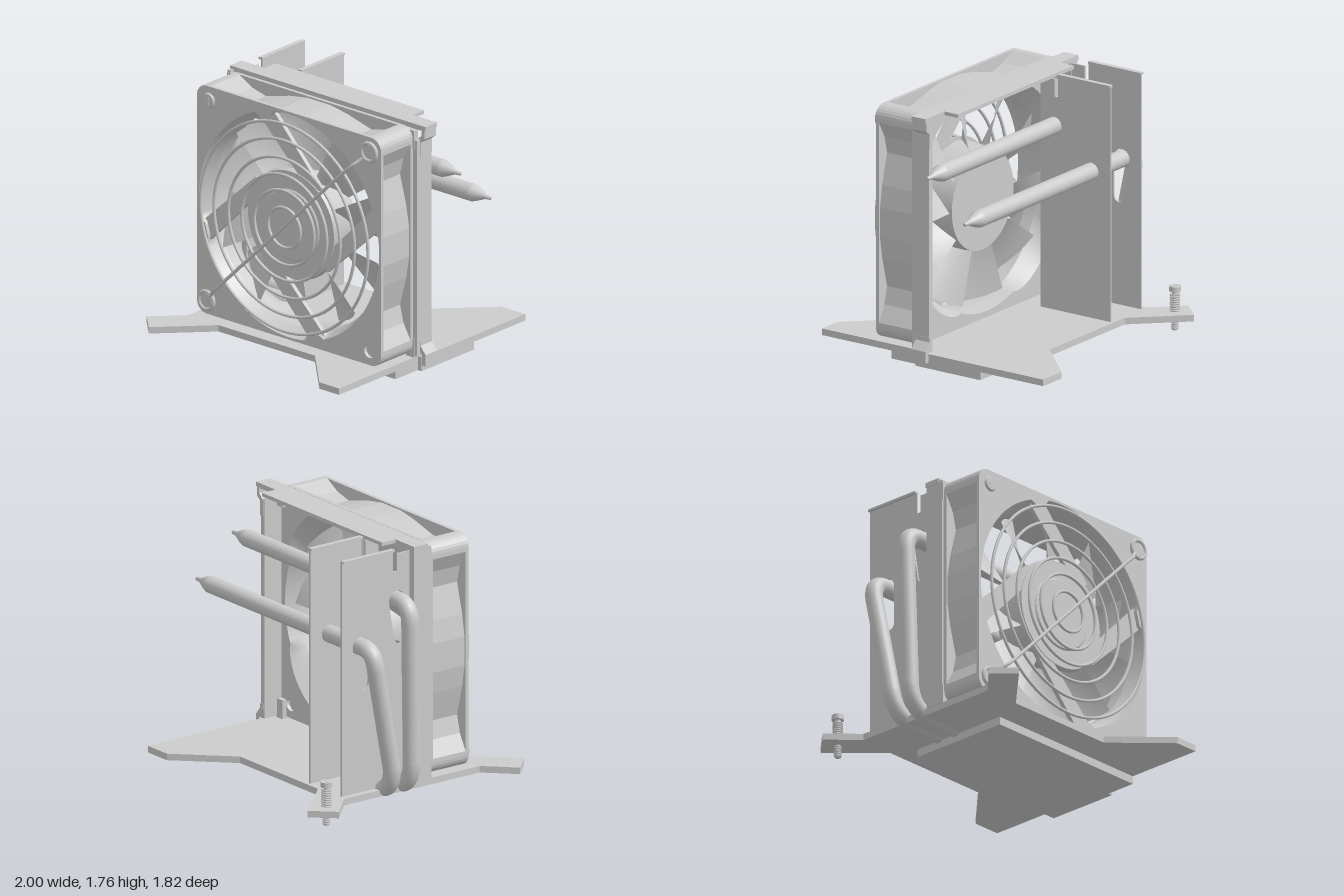
import * as THREE from 'three';

const mat = new THREE.MeshStandardMaterial({ color: 0xcccccc });
const thin = new THREE.MeshStandardMaterial({ color: 0xcccccc, side: THREE.DoubleSide });
const V = (x, y, z) => new THREE.Vector3(x, y, z);
const CY = 0.943; // height of the fan axis

function add(parent, name, geo, x = 0, y = 0, z = 0, m = mat) {
  const mesh = new THREE.Mesh(geo, m);
  mesh.name = name;
  mesh.position.set(x, y, z);
  parent.add(mesh);
  return mesh;
}

// box given by its limits on each axis
function box(parent, name, x0, x1, y0, y1, z0, z1) {
  return add(parent, name, new THREE.BoxGeometry(x1 - x0, y1 - y0, z1 - z0), (x0 + x1) / 2, (y0 + y1) / 2, (z0 + z1) / 2);
}

const poly = (pts) => new THREE.Shape(pts.map(([x, y]) => new THREE.Vector2(x, y)));
const extrude = (shape, depth) => new THREE.ExtrudeGeometry(shape, { depth, bevelEnabled: false, curveSegments: 32 });

// duct radius: the front mouth steps in at the four struts, the back one widens to the corners
const DUCT = 0.745;
const frontMouth = (a) => {
  const deg = ((a * 180) / Math.PI) % 90;
  return deg > 11 && deg < 22 ? DUCT + 0.005 : 0.785;
};
const backMouth = (a) => 0.76 + 0.07 * Math.max(0, Math.cos(4 * (a - Math.PI / 4))) ** 0.6;
function ringPath(radius, n = 144) {
  const pts = [];
  for (let i = 0; i < n; i++) {
    const a = (i / n) * Math.PI * 2;
    pts.push(new THREE.Vector2(Math.cos(a) * radius(a), Math.sin(a) * radius(a)));
  }
  return new THREE.Path(pts);
}

// square outline with rounded corners, optionally with hollowed sides that leave corner posts
function frameOutline(hollow) {
  const pts = [], c = 0.72, r = 0.082;
  const half = [[0.802, 0.69], [0.74, 0.58], [0.71, 0.46], [0.765, 0.25], [0.79, 0.1]];
  const side = [...half.map(([x, y]) => [x, -y]), ...half.reverse()];
  for (let k = 0; k < 4; k++) {
    const rot = (x, y) => new THREE.Vector2(x, y).rotateAround(new THREE.Vector2(), (k * Math.PI) / 2);
    if (hollow) side.forEach((p) => pts.push(rot(...p)));
    for (let i = 0; i <= 6; i++) {
      const a = (i / 6) * Math.PI / 2;
      pts.push(rot(c + r * Math.cos(a), c + r * Math.sin(a)));
    }
  }
  return new THREE.Shape(pts);
}

function buildFan() {
  const fan = new THREE.Group();
  fan.name = 'fan';
  fan.position.y = CY;

  // housing in slices: flanges, hollowed body, flared mouths
  const slices = [
    ['backFlange', 0.155, 0.18, false, backMouth], ['bodyBack', 0.18, 0.27, true, backMouth],
    ['bodyMiddle', 0.27, 0.36, true, () => DUCT], ['bodyFront', 0.36, 0.45, true, frontMouth],
    ['frontFlange', 0.45, 0.475, false, frontMouth],
  ];
  for (const [name, z0, z1, hollow, radius] of slices) {
    const s = frameOutline(hollow);
    s.holes.push(ringPath(radius));
    if (!hollow) s.holes.push(new THREE.Path().absarc(0.7, -0.707, 0.045, 0, Math.PI * 2));
    add(fan, name, extrude(s, z1 - z0), 0, 0, z0);
  }
  // flared duct surfaces
  for (const [z0, z1, radius] of [[0.36, 0.475, frontMouth], [0.27, 0.155, backMouth]]) {
    const g = new THREE.PlaneGeometry(1, 1, 144, 4), p = g.attributes.position;
    for (let i = 0; i < p.count; i++) {
      const a = (p.getX(i) + 0.5) * Math.PI * 2, t = p.getY(i) + 0.5;
      const r = DUCT + (radius(a) - DUCT) * t;
      p.setXYZ(i, r * Math.cos(a), r * Math.sin(a), z0 + (z1 - z0) * t);
    }
    g.computeVertexNormals();
    add(fan, 'ductFlare', g, 0, 0, 0, thin);
  }

  // rotor hub and fixed motor plate
  add(fan, 'hub', new THREE.CylinderGeometry(0.36, 0.345, 0.22, 48).rotateX(Math.PI / 2), 0, 0, 0.3);
  add(fan, 'motorPlate', new THREE.CylinderGeometry(0.375, 0.385, 0.04, 48).rotateX(Math.PI / 2), 0, 0, 0.435);
  add(fan, 'motorCap', new THREE.CylinderGeometry(0.24, 0.25, 0.01, 40).rotateX(Math.PI / 2), 0, 0, 0.46);

  // pitched blades
  for (let k = 0; k < 10; k++) {
    const g = new THREE.PlaneGeometry(1, 1, 8, 8), p = g.attributes.position;
    for (let i = 0; i < p.count; i++) {
      const r = 0.345 + 0.375 * (p.getX(i) + 0.5), v = p.getY(i), a = v * 0.52;
      p.setXYZ(i, r * Math.cos(a), r * Math.sin(a), 0.3 + v * 0.2 + 0.06 * (v * v - 0.1));
    }
    g.computeVertexNormals();
    add(fan, 'blade', g, 0, 0, 0, thin).rotation.z = ((13 + 36 * k) * Math.PI) / 180;
  }

  // slanted struts holding the motor
  for (let k = 0; k < 4; k++) {
    const s = poly([[-0.287, 0.709], [0.18, 0.25], [0.26, 0.31], [-0.146, 0.751]]);
    add(fan, 'strut', extrude(s, 0.03), 0, 0, 0.42).rotation.z = (k * Math.PI) / 2;
  }

  // wire guard: rings, one diagonal wire and two eyelets
  for (const r of [0.14, 0.26, 0.37, 0.487, 0.613, 0.73])
    add(fan, 'guardRing', new THREE.TorusGeometry(r, 0.011, 8, 72), 0, 0, 0.522);
  const wire = new THREE.CatmullRomCurve3([V(-0.67, -0.66, 0.49), V(-0.65, -0.64, 0.5), V(-0.61, -0.6, 0.54), V(-0.55, -0.545, 0.544),
    V(0.55, 0.545, 0.544), V(0.61, 0.6, 0.54), V(0.65, 0.64, 0.5), V(0.67, 0.66, 0.49)], false, 'centripetal');
  add(fan, 'guardWire', new THREE.TubeGeometry(wire, 60, 0.012, 8));
  for (const s of [-1, 1]) {
    add(fan, 'guardEyelet', new THREE.TorusGeometry(0.062, 0.014, 8, 32), s * 0.709, s * 0.702, 0.488);
    add(fan, 'eyeletScrew', new THREE.CylinderGeometry(0.047, 0.052, 0.02, 24).rotateX(Math.PI / 2), s * 0.709, s * 0.702, 0.483);
  }
  // cross-head screw
  add(fan, 'cornerScrew', new THREE.CylinderGeometry(0.045, 0.055, 0.015, 24).rotateX(Math.PI / 2), -0.697, 0.705, 0.481);
  for (const a of [0, Math.PI / 2])
    add(fan, 'screwCross', new THREE.BoxGeometry(0.06, 0.014, 0.004), -0.697, 0.705, 0.489).rotation.z = a;
  return fan;
}

// heat pipe: straight run with a pinched tip, bent down and back under the fins
function buildPipe(parent, y, z, zLow) {
  const path = new THREE.CurvePath();
  const yl = 0.128, p = [V(0.85, y, z), V(-0.8, y, z), V(-0.905, y - 0.13, z + (zLow - z) * 0.1),
    V(-0.89, yl + 0.16, zLow - (zLow - z) * 0.1), V(-0.74, yl, zLow), V(-0.46, yl, zLow)];
  path.add(new THREE.LineCurve3(p[0], p[1]));
  path.add(new THREE.QuadraticBezierCurve3(p[1], V(-0.905, y, z), p[2]));
  path.add(new THREE.LineCurve3(p[2], p[3]));
  path.add(new THREE.QuadraticBezierCurve3(p[3], V(-0.87, yl, zLow), p[4]));
  path.add(new THREE.LineCurve3(p[4], p[5]));
  add(parent, 'heatPipe', new THREE.TubeGeometry(path, 160, 0.059, 20));
  const tip = [[0.059, 0], [0.05, 0.03], [0.016, 0.11], [0.013, 0.15], [0, 0.15]].map(([r, h]) => new THREE.Vector2(r, h));
  add(parent, 'pipeTip', new THREE.LatheGeometry(tip, 20).rotateZ(-Math.PI / 2), 0.85, y, z);
  add(parent, 'pipeEnd', new THREE.CylinderGeometry(0.059, 0.059, 0.01, 20).rotateZ(Math.PI / 2), -0.455, yl, zLow);
}

function buildFins(parent) {
  for (const [x, slots, lip] of [[-0.765, true, -0.785], [-0.425, false, -0.44]]) {
    const s = poly([[-0.02, 0.13], [0.545, 0.13], [0.545, 1.755], [0.12, 1.755], [0.12, 1.6], [0.09, 1.6], [0.09, 1.72], [-0.02, 1.72]]);
    if (slots) for (const [cz, y0, y1] of [[0.09, 1.14, 1.4], [0.39, 0.88, 1.14]]) {
      const h = new THREE.Path();
      h.absarc(cz, y1, 0.065, 0, Math.PI);
      h.absarc(cz - 0.02, y0, 0.045, Math.PI, Math.PI * 2);
      s.holes.push(h);
    }
    add(parent, 'fin', extrude(s, 0.012).rotateY(Math.PI / 2), x, 0, 0);
    box(parent, 'finLip', lip, lip + 0.035, 1.743, 1.758, -0.545, -0.12);
  }
}

function buildBracket(parent) {
  box(parent, 'topBar', -0.82, 0.84, 1.725, 1.76, 0.01, 0.125);
  box(parent, 'topSheet', -0.62, 0.675, 1.735, 1.76, -0.1, 0.02);
  box(parent, 'rightColumn', -0.815, -0.79, 0.13, 1.74, 0.015, 0.155);
  box(parent, 'leftColumn', 0.8, 0.838, 0.14, 1.66, 0.015, 0.155);
  box(parent, 'columnLip', -0.81, -0.75, 0.13, 1.73, 0.015, 0.04);
  // stepped clips at the ends of the left column
  const lower = poly([[0.81, 0.24], [0.81, 0.2], [0.855, 0.14], [0.855, 0.075], [0.885, 0.075], [0.885, 0.155], [0.84, 0.21], [0.84, 0.24]]);
  add(parent, 'lowerClip', extrude(lower, 0.115), 0, 0, 0.01);
  const upper = poly([[0.81, 1.54], [0.84, 1.54], [0.84, 1.64], [0.875, 1.67], [0.875, 1.73], [0.885, 1.73], [0.885, 1.76], [0.81, 1.76], [0.81, 1.73], [0.85, 1.73], [0.85, 1.69], [0.81, 1.65]]);
  add(parent, 'upperClip', extrude(upper, 0.115), 0, 0, 0.01);
  // small stand-offs between bracket and fan
  for (const x of [-0.78, 0.78]) for (const y of [0.19, 1.655])
    box(parent, 'standOff', x - 0.035, x + 0.035, y - 0.06, y + 0.07, 0.12, 0.16);
}

function buildScrew(parent) {
  const screw = new THREE.Group();
  screw.name = 'mountScrew';
  screw.position.set(-0.86, 0, -0.745);
  add(screw, 'shaft', new THREE.CylinderGeometry(0.02, 0.02, 0.28, 16), 0, 0.14, 0);
  add(screw, 'head', new THREE.CylinderGeometry(0.04, 0.04, 0.035, 24), 0, 0.285, 0);
  box(screw, 'headSlot', -0.032, 0.032, 0.3, 0.305, -0.005, 0.005).rotation.y = -0.3;
  for (const [y0, n, r] of [[0.012, 5, 0.021], [0.135, 8, 0.03]])
    for (let i = 0; i < n; i++)
      add(screw, 'thread', new THREE.TorusGeometry(r, 0.006, 6, 20).rotateX(Math.PI / 2 + 0.1), 0, y0 + i * 0.0155, 0);
  parent.add(screw);
}

export function createModel() {
  const model = new THREE.Group();
  model.name = 'towerCooler';

  // base plate with four arms, outline given as x and -z
  const plate = poly([[-1, 0.75], [-0.81, 0.56], [-0.81, -0.56], [-1, -0.75], [-0.86, -0.89], [-0.54, -0.56], [0.3, -0.56], [0.64, -0.905],
    [0.812, -0.905], [0.812, -0.12], [0.845, -0.12], [0.845, 0.915], [0.64, 0.915], [0.3, 0.57], [-0.54, 0.57], [-0.86, 0.9]]);
  add(model, 'basePlate', extrude(plate, 0.045).rotateX(-Math.PI / 2), 0, 0.085, 0);
  const block = poly([[-0.46, -0.34], [0.812, -0.34], [0.812, -0.12], [0.845, -0.12], [0.845, 0.405], [-0.46, 0.405]]);
  add(model, 'contactBlock', extrude(block, 0.06).rotateX(-Math.PI / 2), 0, 0.03, 0);

  buildBracket(model);
  buildFins(model);
  buildPipe(model, 1.4, -0.09, -0.06);
  buildPipe(model, 1.14, -0.39, -0.21);
  buildScrew(model);
  model.add(buildFan());
  return model;
}
